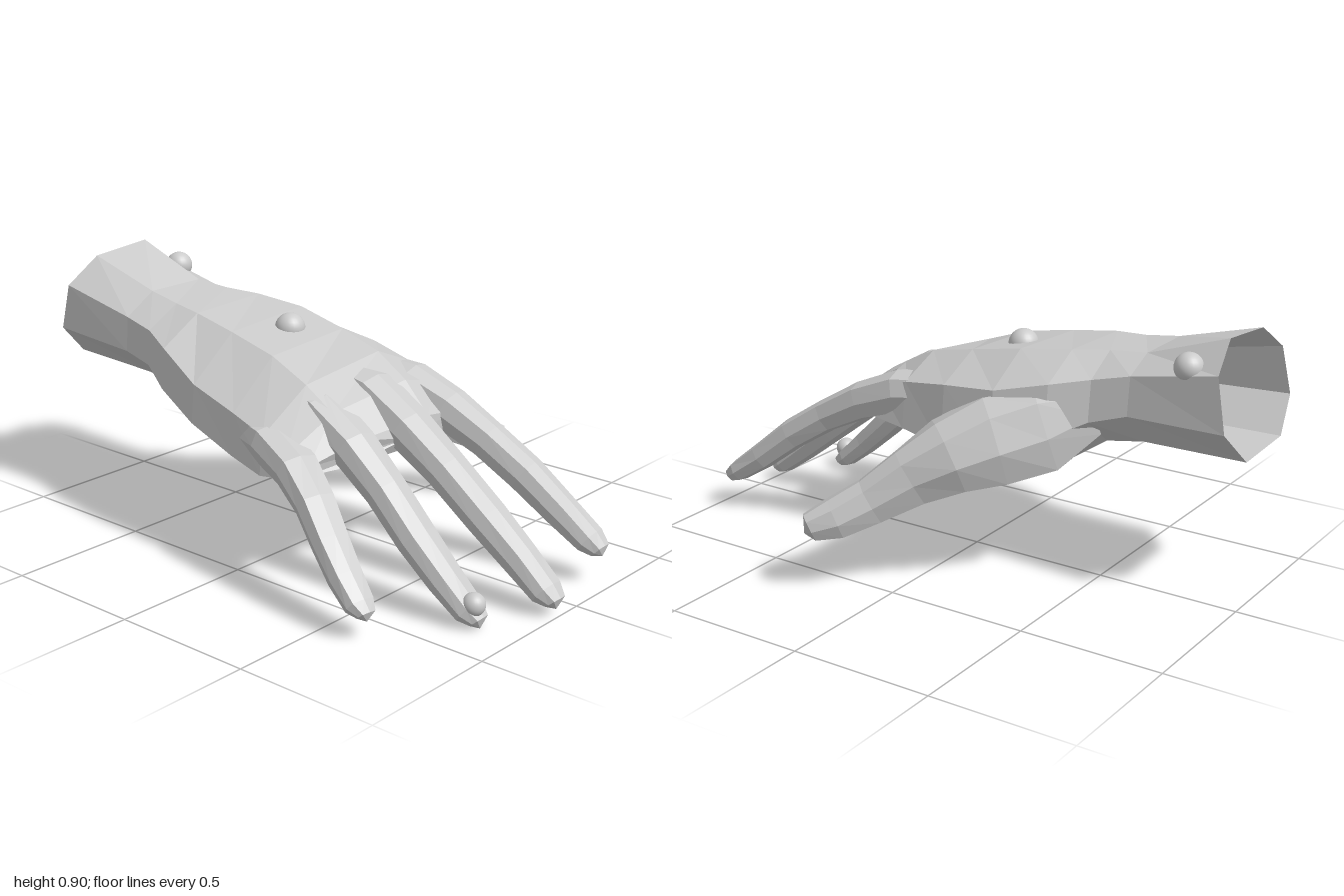
import * as THREE from 'three';

const skin = new THREE.MeshStandardMaterial({ color: 0xcccccc, flatShading: true, side: THREE.DoubleSide });
const smooth = new THREE.MeshStandardMaterial({ color: 0xcccccc });

// Joins rings of points into a faceted skin, closed at the far end by a tip point
function loft(name, rings, tip) {
  const n = rings[0].length;
  const pos = [...rings.flat(), tip].flatMap((p) => [p.x, p.y, p.z]);
  const index = [];
  rings.forEach((ring, i) => {
    for (let j = 0; j < n; j++) {
      const k = (j + 1) % n;
      const a = i * n + j, b = i * n + k;
      if (i < rings.length - 1) index.push(a, a + n, b, b, a + n, b + n);
      else index.push(rings.length * n, b, a);
    }
  });
  const geo = new THREE.BufferGeometry();
  geo.setAttribute('position', new THREE.Float32BufferAttribute(pos, 3));
  geo.setIndex(index);
  geo.computeVertexNormals();
  const mesh = new THREE.Mesh(geo, skin);
  mesh.name = name;
  return mesh;
}

// Digit along stations [x, y, z, half width, half height]; the last one is the tip
function digit(name, stations, sides = 8) {
  const pts = stations.map(([x, y, z]) => new THREE.Vector3(x, y, z));
  const up = new THREE.Vector3(0, 1, 0);
  const rings = stations.slice(0, -1).map(([, , , w, h], i) => {
    const dir = pts[i + 1].clone().sub(pts[Math.max(i - 1, 0)]).normalize();
    const right = up.clone().cross(dir).normalize();
    const over = dir.clone().cross(right);
    return Array.from({ length: sides }, (_, j) => {
      const t = (j / sides) * Math.PI * 2;
      const full = j % 2 ? 1.12 : 1; // fuller corners make the section boxy
      return pts[i].clone().addScaledVector(right, full * w * Math.sin(t)).addScaledVector(over, full * h * Math.cos(t));
    });
  });
  return loft(name, rings, pts[pts.length - 1]);
}

function ball(name, r, x, y, z) {
  const mesh = new THREE.Mesh(new THREE.SphereGeometry(r, 24, 16), smooth);
  mesh.position.set(x, y, z);
  mesh.name = name;
  return mesh;
}

export function createModel() {
  const hand = new THREE.Group();
  hand.name = 'hand';

  // Wrist and palm: z, outer x, thumb-side x, then heights round the section
  const across = [0, 0.02, 0.27, 0.74, 0.97, 1, 0.75, 0.22];
  const sections = [
    [-0.96, -0.385, 0.105, [0.63, 0.79, 0.88, 0.9, 0.81, 0.63, 0.51, 0.52]],
    [-0.63, -0.39, 0.09, [0.61, 0.73, 0.8, 0.8, 0.75, 0.62, 0.5, 0.51]],
    [-0.5, -0.41, 0.11, [0.59, 0.71, 0.78, 0.79, 0.72, 0.58, 0.48, 0.5]],
    [-0.38, -0.46, 0.18, [0.54, 0.68, 0.77, 0.78, 0.7, 0.52, 0.4, 0.46]],
    [-0.2, -0.5, 0.23, [0.47, 0.6, 0.74, 0.76, 0.66, 0.46, 0.33, 0.43]],
    [0, -0.52, 0.22, [0.41, 0.55, 0.7, 0.72, 0.64, 0.43, 0.34, 0.4]],
    [0.18, -0.535, 0.19, [0.38, 0.51, 0.64, 0.68, 0.61, 0.45, 0.39, 0.39]],
    [0.31, -0.53, 0.17, [0.39, 0.46, 0.57, 0.61, 0.57, 0.46, 0.41, 0.4]],
    [0.41, -0.49, 0.15, [0.4, 0.43, 0.49, 0.51, 0.49, 0.45, 0.42, 0.41]],
  ];
  const rings = sections.map(([z, x0, x1, ys], i) =>
    ys.map((y, j) => {
      const slant = i === 0 ? (y - 0.71) * 0.2 : 0; // sloping cut of the wrist
      const sweep = -0.04 * Math.max(i - 5, 0) * (1 - across[j]) ** 3; // knuckles fall back at the little finger
      return new THREE.Vector3(x0 + (x1 - x0) * across[j], y, z + slant + sweep);
    }));
  hand.add(loft('palmAndWrist', rings, new THREE.Vector3(-0.12, 0.46, 0.41)));

  // Fingers, rooted inside the palm
  hand.add(digit('indexFinger', [
    [0.08, 0.57, 0.08, 0.08, 0.07], [0.105, 0.55, 0.24, 0.085, 0.075], [0.122, 0.495, 0.39, 0.076, 0.066],
    [0.14, 0.415, 0.54, 0.066, 0.057], [0.16, 0.325, 0.68, 0.067, 0.055], [0.184, 0.22, 0.81, 0.061, 0.049],
    [0.195, 0.145, 0.915, 0.058, 0.04], [0.197, 0.118, 0.955, 0.038, 0.026], [0.197, 0.1, 0.965]]));
  hand.add(digit('middleFinger', [
    [-0.1, 0.6, 0.08, 0.08, 0.07], [-0.1, 0.57, 0.24, 0.085, 0.075], [-0.108, 0.49, 0.4, 0.078, 0.065],
    [-0.11, 0.385, 0.56, 0.071, 0.057], [-0.105, 0.26, 0.72, 0.071, 0.054], [-0.1, 0.155, 0.85, 0.062, 0.049],
    [-0.1, 0.075, 0.95, 0.058, 0.04], [-0.1, 0.05, 0.985, 0.038, 0.026], [-0.1, 0.026, 0.99]]));
  hand.add(digit('ringFinger', [
    [-0.28, 0.57, 0.06, 0.075, 0.07], [-0.305, 0.545, 0.2, 0.08, 0.07], [-0.322, 0.47, 0.35, 0.075, 0.063],
    [-0.33, 0.36, 0.49, 0.067, 0.055], [-0.335, 0.235, 0.62, 0.067, 0.052], [-0.335, 0.13, 0.735, 0.06, 0.046],
    [-0.33, 0.052, 0.825, 0.055, 0.037], [-0.328, 0.028, 0.86, 0.036, 0.024], [-0.328, 0.003, 0.866]]));
  hand.add(digit('littleFinger', [
    [-0.43, 0.48, 0, 0.07, 0.06], [-0.468, 0.475, 0.13, 0.076, 0.064], [-0.503, 0.425, 0.27, 0.073, 0.059],
    [-0.54, 0.35, 0.38, 0.065, 0.052], [-0.573, 0.26, 0.47, 0.061, 0.048], [-0.6, 0.175, 0.555, 0.056, 0.044],
    [-0.615, 0.11, 0.625, 0.05, 0.035], [-0.618, 0.088, 0.655, 0.032, 0.022], [-0.62, 0.067, 0.66]]));

  // Thumb with its fleshy base and the web beside the palm
  hand.add(digit('thumb', [
    [0.02, 0.59, -0.47, 0.065, 0.085], [0.1, 0.53, -0.34, 0.12, 0.15], [0.2, 0.49, -0.2, 0.152, 0.148],
    [0.31, 0.445, -0.095, 0.135, 0.12], [0.4, 0.38, -0.005, 0.09, 0.098], [0.485, 0.302, 0.095, 0.075, 0.077],
    [0.565, 0.25, 0.18, 0.072, 0.066], [0.628, 0.225, 0.238, 0.048, 0.046], [0.64, 0.205, 0.25]]));

  // Round markers on wrist, back of hand and ring fingertip
  hand.add(ball('wristMarker', 0.048, 0.05, 0.808, -0.82));
  hand.add(ball('handMarker', 0.052, -0.105, 0.728, -0.12));
  hand.add(ball('fingertipMarker', 0.038, -0.335, 0.08, 0.845));
  return hand;
}
